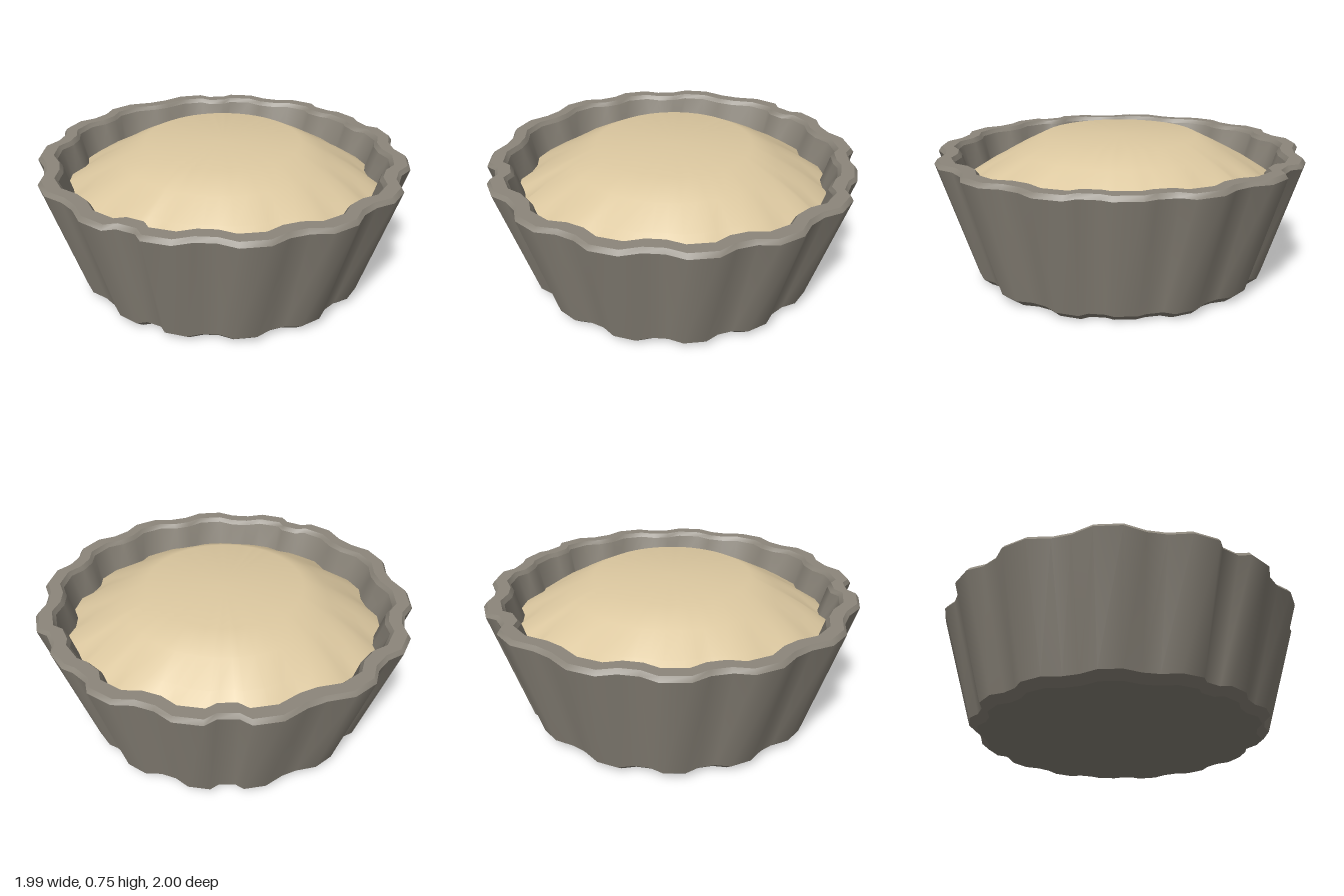
import * as THREE from 'three';
import { mergeGeometries } from 'three/addons/utils/BufferGeometryUtils.js';

// Lobe centres in degrees around the rim, clockwise from the back (slightly uneven, hand crimped)
const LOBES = [20, 41, 61, 86, 110, 135, 160, 184.5, 204, 231, 258, 282, 306, 335, 355];

// Fluted outline: each lobe has two crest points followed by two valley points
function fluteOutline() {
  const points = [];
  LOBES.forEach((centre, i) => {
    const next = i + 1 < LOBES.length ? LOBES[i + 1] : LOBES[0] + 360;
    const crest = centre === 41 ? 0.98 : 1.0;
    const valley = (centre + next) / 2;
    points.push([centre - 4, crest], [centre + 4, crest], [valley - 3, 0.957], [valley + 3, 0.957]);
  });
  return points.map(([deg, scale]) => ({ a: THREE.MathUtils.degToRad(deg), scale }));
}

const OUTLINE = fluteOutline();

// Smooth strip through rings of [radius, height, fluting amount]
function band(rings) {
  const n = OUTLINE.length;
  const position = [];
  const index = [];
  rings.forEach(([radius, y, flute = 1]) => {
    OUTLINE.forEach(({ a, scale }) => {
      const r = radius * THREE.MathUtils.lerp(0.98, scale, flute);
      position.push(r * Math.sin(a), y, -r * Math.cos(a));
    });
  });
  for (let k = 0; k < rings.length - 1; k++) {
    for (let i = 0; i < n; i++) {
      const j = (i + 1) % n;
      const a = k * n + i, b = k * n + j, c = a + n, d = b + n;
      index.push(a, c, b, b, c, d);
    }
  }
  const geometry = new THREE.BufferGeometry();
  geometry.setAttribute('position', new THREE.Float32BufferAttribute(position, 3));
  geometry.setIndex(index);
  geometry.computeVertexNormals();
  return geometry;
}

export function createModel() {
  const group = new THREE.Group();
  const tin = new THREE.MeshStandardMaterial({ color: 0x8c867b });
  tin.name = 'tin grey';
  const cream = new THREE.MeshStandardMaterial({ color: 0xdcc8a0 });
  cream.name = 'cream filling';

  // Tin profile from the base centre, up the outside, over the rim and down the inside
  const profile = [
    [0, 0], [0.765, 0], [0.81, 0.038], [1.0, 0.662], [0.983, 0.685],
    [0.915, 0.685], [0.897, 0.662], [0.83, 0.44],
  ];
  const bands = profile.slice(1).map((ring, i) => band([profile[i], ring]));
  const tinMesh = new THREE.Mesh(mergeGeometries(bands), tin);
  tinMesh.name = 'flutedTin';
  group.add(tinMesh);

  // Domed filling: fluted at the wall, round towards the flat top
  const filling = new THREE.Mesh(band([
    [0.855, 0.515, 1], [0.72, 0.605, 0.4], [0.57, 0.685, 0], [0.43, 0.752, 0], [0, 0.754, 0],
  ]), cream);
  filling.name = 'filling';
  group.add(filling);

  return group;
}
